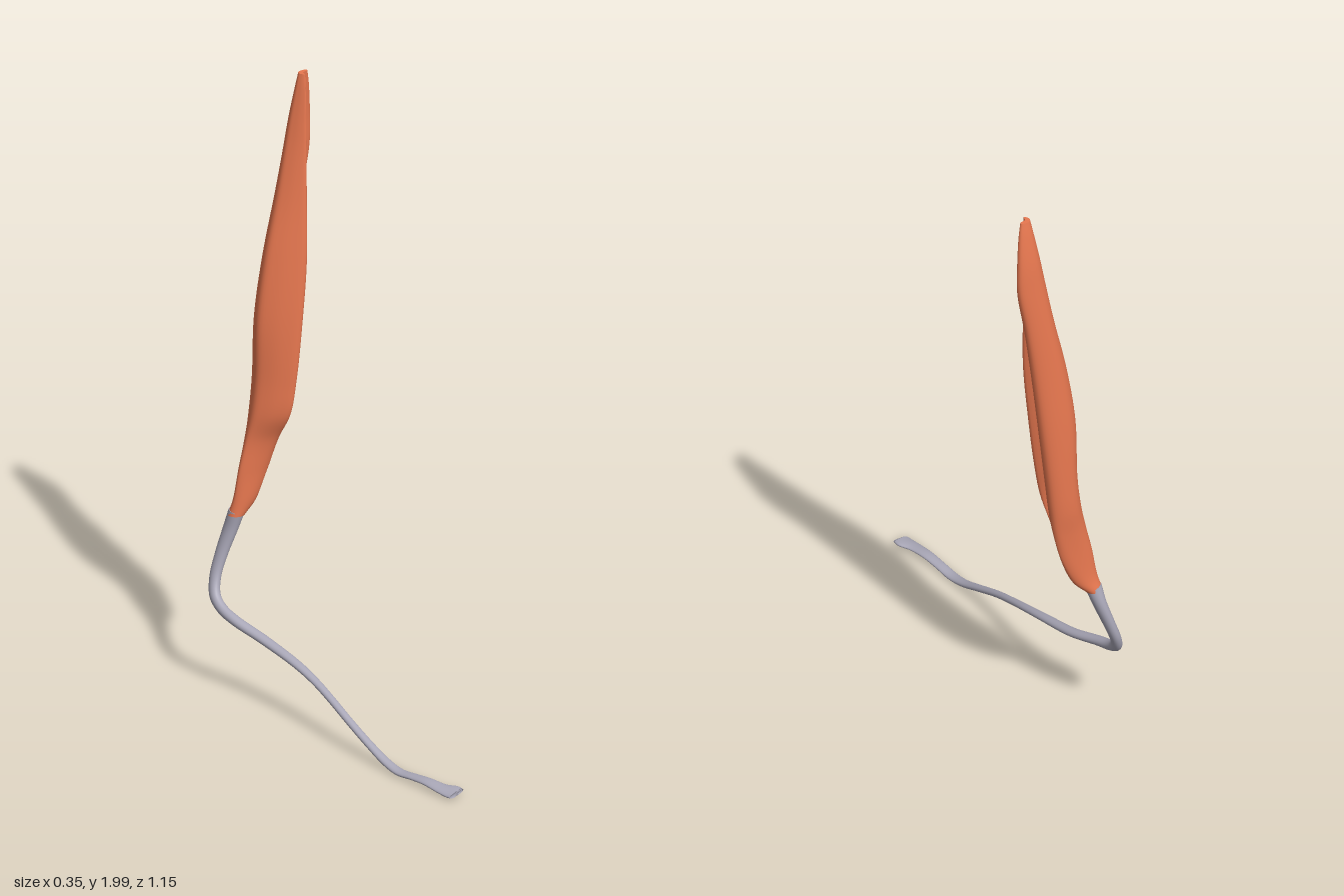
import * as THREE from 'three';

const V = (x, y, z) => new THREE.Vector3(x, y, z);

// Skin a list of closed rings, with sharp flat caps on both ends
function loft(rings) {
  const n = rings[0].length, pos = [], idx = [];
  const add = (p) => pos.push(p.x, p.y, p.z) / 3 - 1;
  rings.forEach((r) => r.forEach(add));
  for (let i = 0; i < rings.length - 1; i++) {
    for (let k = 0; k < n; k++) {
      const a = i * n + k, b = i * n + (k + 1) % n;
      idx.push(a, a + n, b, b, a + n, b + n);
    }
  }
  [rings[0], rings[rings.length - 1]].forEach((r, end) => {
    const mid = V(0, 0, 0);
    r.forEach((p) => mid.addScaledVector(p, 1 / n));
    const c = add(mid), s = c + 1;
    r.forEach(add);
    for (let k = 0; k < n; k++) {
      const a = s + k, b = s + (k + 1) % n;
      if (end) idx.push(c, b, a); else idx.push(c, a, b);
    }
  });
  const g = new THREE.BufferGeometry();
  g.setAttribute('position', new THREE.Float32BufferAttribute(pos, 3));
  g.setIndex(idx);
  g.computeVertexNormals();
  return g;
}

// Smooth the stations lengthwise: one spline per ring point
function refine(rings, steps) {
  const lines = rings[0].map((_, k) => new THREE.CatmullRomCurve3(rings.map((r) => r[k]), false, 'centripetal'));
  return Array.from({ length: steps + 1 }, (_, i) => lines.map((l) => l.getPoint(i / steps)));
}

// Crescent section in a unit box; f is how far the front lobe reaches to +x
const crescent = (f) => [
  [0, 0.45], [0.08, 0.2], [0.3, 0.02], [0.7, 0], [0.95, 0.1], [1, 0.27], [0.88, 0.36],
  [f * 0.76, 0.42], [f * 0.74, 0.65], [f, 0.88], [f * 0.87, 1], [f * 0.5, 0.86], [f * 0.18, 0.65],
];

// Muscle stations: y, x min, x max, z back, z front, lobe reach, crescent amount
const BELLY = [
  [0.55, -0.102, -0.047, -0.561, -0.51, 0.8, 0],
  [0.6, -0.09, 0.0, -0.553, -0.5, 0.8, 0.15],
  [0.7, -0.075, 0.045, -0.549, -0.487, 0.8, 0.5],
  [0.8, -0.055, 0.065, -0.55, -0.463, 0.8, 0.85],
  [0.89, -0.042, 0.075, -0.555, -0.42, 0.82, 1],
  [1.0, -0.032, 0.086, -0.555, -0.408, 0.85, 1],
  [1.2, -0.03, 0.106, -0.55, -0.404, 0.88, 1],
  [1.4, -0.003, 0.126, -0.54, -0.408, 0.86, 1],
  [1.6, 0.04, 0.15, -0.529, -0.42, 0.67, 1],
  [1.75, 0.068, 0.172, -0.519, -0.43, 0.48, 1],
  [1.85, 0.086, 0.17, -0.511, -0.437, 0.4, 1],
  [1.95, 0.105, 0.16, -0.496, -0.446, 0.35, 1],
  [2.0, 0.115, 0.151, -0.486, -0.455, 0.35, 1],
];

function bellyGeometry() {
  const rings = BELLY.map(([y, x0, x1, z0, z1, f, amount]) => {
    const c = crescent(f);
    const pts = c.map(([u, w], k) => {
      // blend to a plain oval toward the tendon
      const t = Math.PI + (k / c.length) * Math.PI * 2;
      const uu = THREE.MathUtils.lerp(0.5 + 0.5 * Math.cos(t), u, amount);
      const ww = THREE.MathUtils.lerp(0.5 + 0.5 * Math.sin(t), w, amount);
      return V(x0 + (x1 - x0) * uu, y, z0 + (z1 - z0) * ww);
    });
    const curve = new THREE.CatmullRomCurve3(pts, true, 'centripetal');
    return Array.from({ length: 52 }, (_, k) => curve.getPoint(k / 52));
  });
  return loft(refine(rings, 90));
}

// Tendon stations: x, y, z, half width, half thickness, sideways tilt
const CORD = [
  [-0.074, 0.56, -0.535, 0.026, 0.025, 0],
  [-0.088, 0.5, -0.548, 0.021, 0.025, 0],
  [-0.115, 0.42, -0.557, 0.018, 0.022, 0],
  [-0.141, 0.35, -0.553, 0.017, 0.02, 0],
  [-0.158, 0.3, -0.53, 0.017, 0.019, 0],
  [-0.161, 0.272, -0.49, 0.017, 0.017, 0],
  [-0.154, 0.252, -0.43, 0.018, 0.015, 0],
  [-0.127, 0.222, -0.32, 0.018, 0.013, 0],
  [-0.11, 0.19, -0.17, 0.016, 0.011, 0],
  [-0.106, 0.165, -0.08, 0.014, 0.01, 0],
  [-0.107, 0.138, 0, 0.013, 0.01, 0],
  [-0.109, 0.1, 0.1, 0.013, 0.01, 0],
  [-0.105, 0.058, 0.2, 0.014, 0.01, 0],
  [-0.099, 0.027, 0.28, 0.016, 0.01, 0],
  [-0.094, 0.016, 0.34, 0.018, 0.009, 0],
  [-0.086, 0.021, 0.4, 0.018, 0.008, 0.05],
  [-0.077, 0.025, 0.46, 0.02, 0.008, 0.1],
  [-0.066, 0.021, 0.52, 0.024, 0.008, 0.15],
  [-0.053, 0.02, 0.555, 0.031, 0.009, 0.2],
  [-0.051, 0.02, 0.576, 0.029, 0.008, 0.2],
];

function cordGeometry() {
  const at = (i) => V(...CORD[THREE.MathUtils.clamp(i, 0, CORD.length - 1)].slice(0, 3));
  const rings = CORD.map(([x, y, z, a, b, tilt], i) => {
    const dir = at(i + 1).sub(at(i - 1)).normalize();
    if (i === CORD.length - 1) dir.set(0, 0, 1);
    const side = V(1, tilt, 0).addScaledVector(dir, -V(1, tilt, 0).dot(dir)).normalize();
    const up = side.clone().cross(dir);
    return Array.from({ length: 20 }, (_, k) => {
      const t = (k / 20) * Math.PI * 2;
      return V(x, y, z).addScaledVector(side, a * Math.cos(t)).addScaledVector(up, b * Math.sin(t));
    });
  });
  const fine = refine(rings, 110);
  // notch the splayed end between its two slips
  fine[fine.length - 1].forEach((p) => {
    p.z -= 0.012 * THREE.MathUtils.smoothstep(p.x, -0.058, -0.038);
  });
  return loft(fine);
}

export function createModel() {
  const group = new THREE.Group();
  const part = (name, geometry, color) => {
    const mesh = new THREE.Mesh(geometry, new THREE.MeshStandardMaterial({ color }));
    mesh.name = name;
    group.add(mesh);
  };
  part('muscleBelly', bellyGeometry(), 0xe87850);
  part('tendon', cordGeometry(), 0xaaa8b8);
  return group;
}
